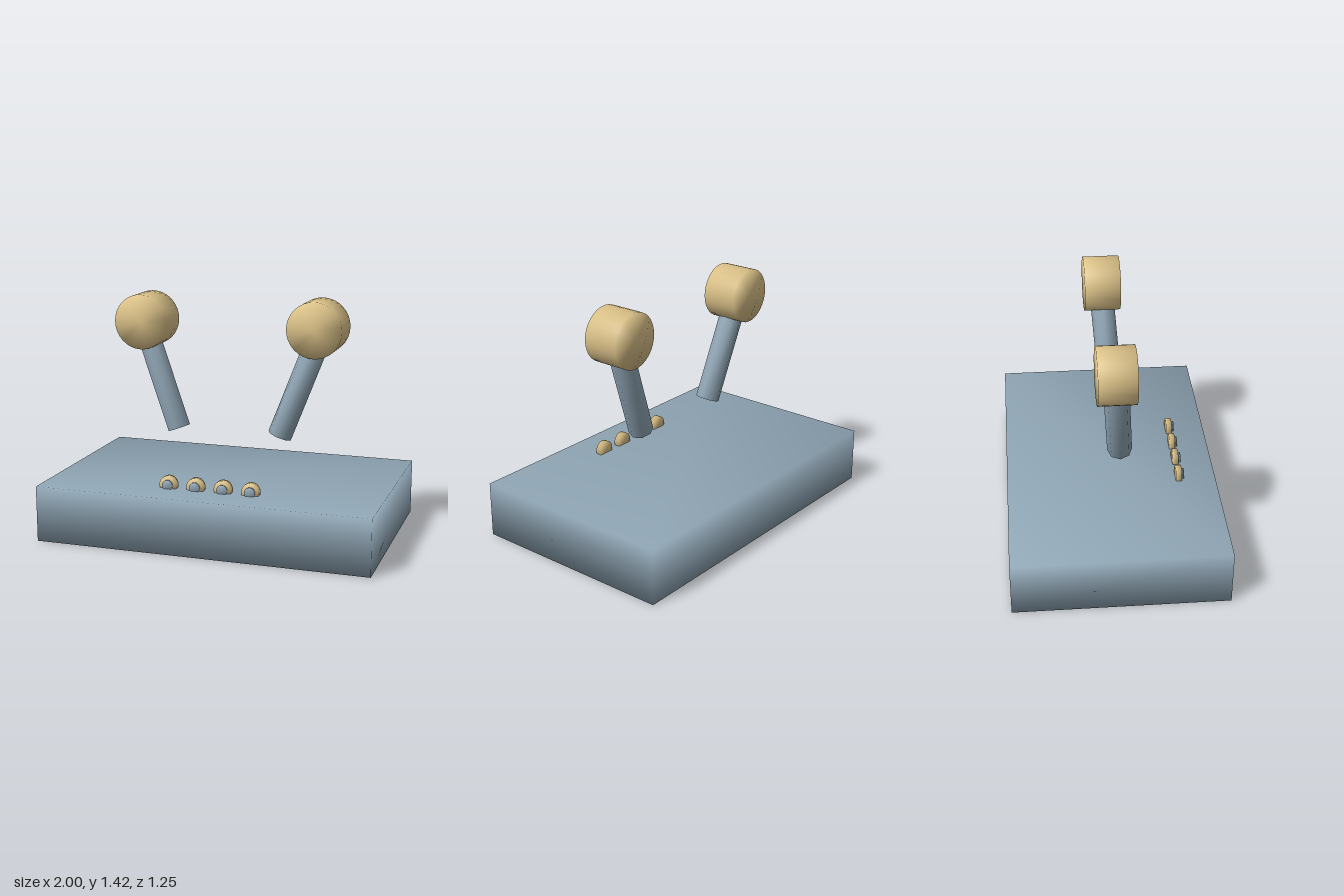
import * as THREE from 'three';
import { mergeVertices } from 'three/addons/utils/BufferGeometryUtils.js';

const steel = new THREE.MeshStandardMaterial({ color: 0x8fa5b4 });
steel.name = 'steel blue';
const brass = new THREE.MeshStandardMaterial({ color: 0xdcc289 });
brass.name = 'pale brass';

// Weld corners so the shading runs smoothly across every edge
function weld(geometry) {
  geometry.deleteAttribute('normal');
  geometry.deleteAttribute('uv');
  const welded = mergeVertices(geometry, 1e-4);
  welded.computeVertexNormals();
  return welded;
}

function add(parent, name, geometry, material, x, y, z) {
  const mesh = new THREE.Mesh(weld(geometry), material);
  mesh.name = name;
  mesh.position.set(x, y, z);
  parent.add(mesh);
  return mesh;
}

// Disc facing the front
const disc = (radius, depth, sides) =>
  new THREE.CylinderGeometry(radius, radius, depth, sides).rotateX(Math.PI / 2);

export function createModel() {
  const model = new THREE.Group();
  model.name = 'controlBox';

  // Base block
  add(model, 'base', new THREE.BoxGeometry(2, 0.334, 1.25), steel, 0, 0.167, 0);

  // Two splayed levers with drum-shaped heads
  for (const side of [-1, 1]) {
    const lever = new THREE.Group();
    lever.name = side > 0 ? 'leftLever' : 'rightLever';
    const foot = new THREE.Vector3(side * 0.317, 0.606, 0.042);
    const tip = new THREE.Vector3(side * 0.53, 1.175, 0.002);
    const axis = tip.clone().sub(foot);
    const mid = foot.clone().add(tip).multiplyScalar(0.5);
    const stem = add(lever, 'stem', new THREE.CylinderGeometry(0.073, 0.073, axis.length(), 8),
      steel, mid.x, mid.y, mid.z);
    stem.quaternion.setFromUnitVectors(new THREE.Vector3(0, 1, 0), axis.normalize());
    add(lever, 'head', disc(0.165, 0.218, 32), brass, side * 0.532, 1.252, 0);
    model.add(lever);
  }

  // Row of half-sunk buttons with small caps in front
  for (let i = 0; i < 4; i++) {
    const x = (i - 1.5) * 0.1667;
    add(model, 'button', disc(0.053, 0.035, 24), brass, x, 0.354, 0.403);
    add(model, 'buttonCap', disc(0.032, 0.01, 20), steel, x, 0.354, 0.431);
  }
  return model;
}
